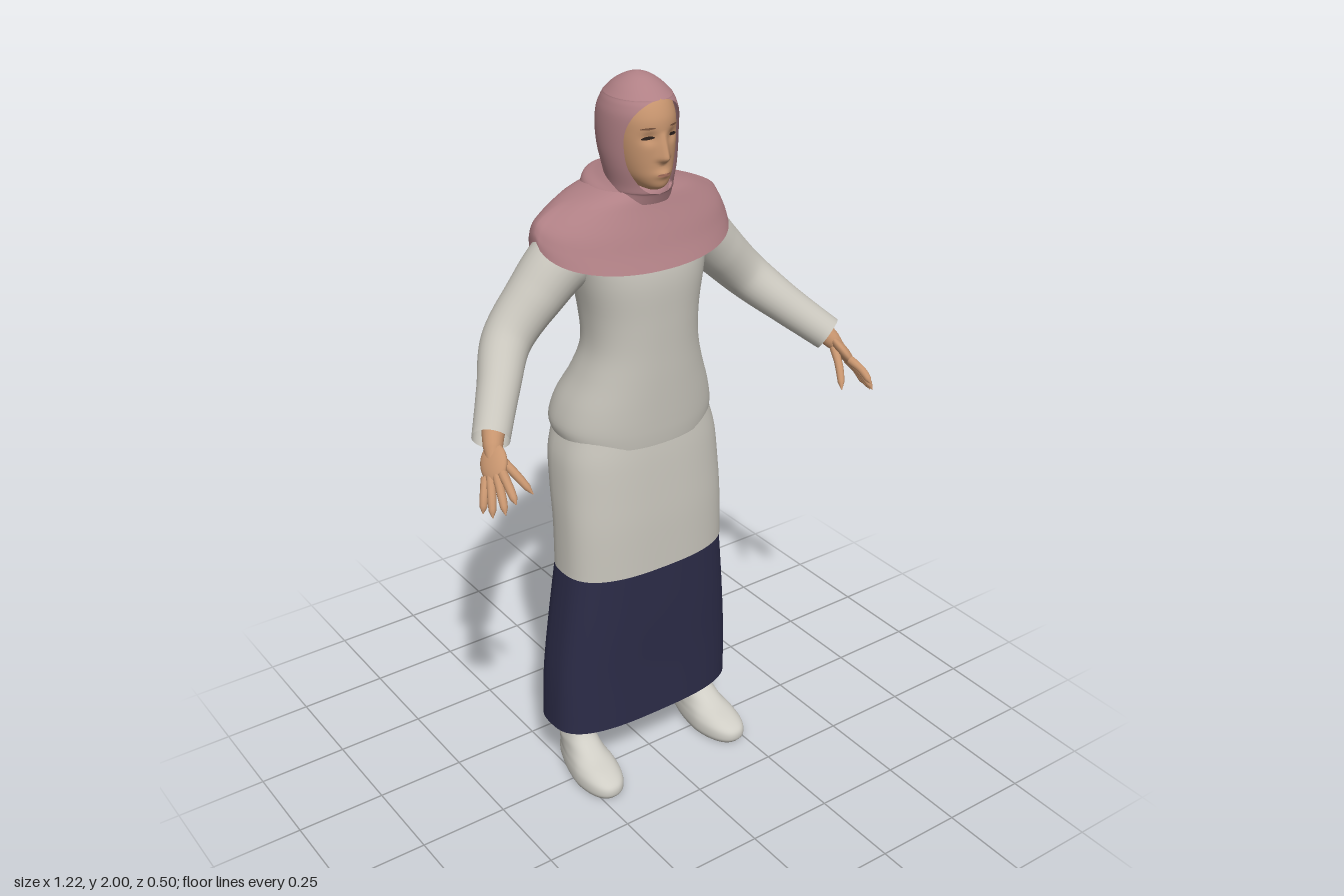
import * as THREE from 'three';
import { mergeVertices } from 'three/addons/utils/BufferGeometryUtils.js';

const V = (x, y, z) => new THREE.Vector3(x, y, z);
const clamp = THREE.MathUtils.clamp;
const bell = (d, s) => Math.exp(-((d / s) ** 2));

function material(name, color) {
  const m = new THREE.MeshStandardMaterial({ color, side: THREE.DoubleSide });
  m.name = name;
  return m;
}

function smooth(geo) {
  geo.deleteAttribute('uv');
  geo.deleteAttribute('normal');
  const g = mergeVertices(geo, 1e-5);
  g.computeVertexNormals();
  return g;
}

const spline = (a, b, c, d, t) =>
  0.5 * (2 * b + (c - a) * t + (2 * a - 5 * b + 4 * c - d) * t * t + (3 * b - a - 3 * c + d) * t ** 3);

// Surface through rounded cross-sections, bottom to top.
// Row: [y, halfWidth, frontZ, backZ, half angle left open at the front]
function loft(rows, { n = 2, seg = 56, steps = 5, cap = false, warp } = {}) {
  const rings = [];
  const last = rows.length - 1;
  for (let k = 0; k <= last * steps; k++) {
    const i = Math.min(Math.floor(k / steps), last - 1), t = k / steps - i;
    const r = [0, 1, 2, 3, 4].map((c) => {
      const q = (j) => rows[clamp(j, 0, last)][c] ?? 0;
      return spline(q(i - 1), q(i), q(i + 1), q(i + 2), t);
    });
    rings.push(r);
  }
  if (cap) rings.unshift([rings[0][0], 0, ...Array(2).fill((rings[0][2] + rings[0][3]) / 2), 0]);
  const pos = [], idx = [];
  const bend = (v) => Math.sign(v) * Math.abs(v) ** (2 / n);
  rings.forEach(([y, w, f, b, o], i) => {
    const open = Math.max(0, o);
    for (let j = 0; j <= seg; j++) {
      const a = open + (j / seg) * (Math.PI * 2 - 2 * open);
      const s = j === seg && !open ? 0 : Math.sin(a);
      const p = V(w * bend(s), y, (f + b) / 2 + ((f - b) / 2) * bend(Math.cos(a)));
      if (warp) warp(p, a);
      pos.push(p.x, p.y, p.z);
      if (i && j) {
        const d = i * (seg + 1) + j, c = d - 1, e = d - seg - 1, g = e - 1;
        idx.push(g, e, d, g, d, c);
      }
    }
  });
  const geo = new THREE.BufferGeometry();
  geo.setAttribute('position', new THREE.Float32BufferAttribute(pos, 3));
  geo.setIndex(idx);
  return smooth(geo);
}

// Tube whose radius follows a list of values along its length
function taper(points, radii, rings = 24, sides = 20) {
  const curve = new THREE.CatmullRomCurve3(points);
  const geo = new THREE.TubeGeometry(curve, rings, 1, sides, false);
  const p = geo.attributes.position, v = V(0, 0, 0);
  for (let i = 0; i < p.count; i++) {
    const t = Math.floor(i / (sides + 1)) / rings;
    const u = t * (radii.length - 1), k = Math.min(Math.floor(u), radii.length - 2);
    const r = THREE.MathUtils.lerp(radii[k], radii[k + 1], u - k);
    const c = curve.getPointAt(t);
    v.fromBufferAttribute(p, i).sub(c).multiplyScalar(r).add(c);
    p.setXYZ(i, v.x, v.y, v.z);
  }
  return smooth(geo);
}

export function createModel() {
  const model = new THREE.Group();
  const cloth = material('paleCloth', 0xc8c5bc);
  const shoeGrey = material('shoeGrey', 0xcfcdc5);
  const rose = material('roseCloth', 0xb08085);
  const navy = material('navyCloth', 0x2c2c48);
  const skin = material('skin', 0xc6946e);
  const dark = material('lashes', 0x2a1e1a);
  const brown = material('brows', 0x7d5740);
  const lip = material('lips', 0xab7460);
  const add = (name, geo, mat, parent = model) => {
    const m = new THREE.Mesh(geo, mat);
    m.name = name;
    parent.add(m);
    return m;
  };

  // Skirts
  add('underskirt', loft([
    [0.16, 0.29, 0.055, -0.2], [0.32, 0.285, 0.058, -0.197],
    [0.5, 0.267, 0.065, -0.188], [0.7, 0.243, 0.07, -0.175],
  ], { n: 2.9 }), navy);
  add('overskirt', loft([
    [0.665, 0.25, 0.082, -0.186], [0.8, 0.248, 0.08, -0.192], [0.9, 0.245, 0.075, -0.212],
    [1.0, 0.238, 0.068, -0.228], [1.07, 0.22, 0.06, -0.228],
  ], { n: 2.6 }), cloth);

  // Blouse, with a slight crease at the back of the hem
  add('blouse', loft([
    [1.055, 0.222, 0.068, -0.238], [1.09, 0.228, 0.072, -0.252], [1.15, 0.213, 0.075, -0.238],
    [1.23, 0.18, 0.078, -0.195], [1.31, 0.158, 0.08, -0.168], [1.4, 0.16, 0.083, -0.178],
    [1.5, 0.178, 0.085, -0.19], [1.57, 0.19, 0.072, -0.2], [1.64, 0.18, 0.035, -0.19], [1.69, 0.1, 0, -0.15],
  ], {
    n: 2.3, seg: 72,
    warp: (p, a) => {
      if (Math.cos(a) < 0) p.z += 0.016 * bell(p.x, 0.022) * clamp((1.17 - p.y) / 0.08, 0, 1);
      else p.y -= 0.015 * Math.cos(a) ** 2 * clamp((1.1 - p.y) / 0.04, 0, 1);
    },
  }), cloth);

  // Shoulder cape, its hem high at the arms and pointed at the back
  add('cape', loft([
    [1.6, 0.281, 0.088, -0.246], [1.625, 0.277, 0.07, -0.245], [1.655, 0.258, 0.052, -0.238],
    [1.69, 0.198, 0.03, -0.218], [1.72, 0.11, 0.015, -0.18],
  ], {
    n: 2.1, seg: 72,
    warp: (p, a) => {
      const c = Math.cos(a);
      const drop = c > 0 ? -0.08 * c ** 0.6 : -0.155 * (-c) ** 1.4;
      p.y += (0.015 + drop) * clamp((1.7 - p.y) / 0.1, 0, 1);
    },
  }), rose);
  add('collarFold', loft([
    [1.69, 0.118, 0.022, -0.216], [1.715, 0.11, 0.028, -0.208],
    [1.735, 0.09, 0.028, -0.17], [1.755, 0.074, 0.015, -0.13],
  ], { warp: (p) => { p.y -= 0.2 * (p.z + 0.09); } }), rose);

  // Hood with an oval face opening
  add('hood', loft([
    [1.69, 0.085, 0.035, -0.14, 0], [1.715, 0.08, 0.045, -0.135, 0], [1.722, 0.08, 0.05, -0.135, 0.35],
    [1.74, 0.082, 0.052, -0.137, 0.65], [1.78, 0.09, 0.058, -0.148, 0.92], [1.82, 0.095, 0.062, -0.162, 1],
    [1.87, 0.096, 0.066, -0.17, 1], [1.91, 0.093, 0.066, -0.165, 0.85], [1.935, 0.086, 0.058, -0.153, 0.6],
    [1.948, 0.08, 0.05, -0.145, 0.3], [1.953, 0.077, 0.046, -0.14, 0], [1.975, 0.056, 0.018, -0.115, 0],
    [1.993, 0.028, -0.015, -0.08, 0], [2.0, 0, -0.05, -0.05, 0],
  ]), rose);

  // Face with nose, lips and eye sockets raised or sunk by rule
  const face = add('face', loft([
    [1.725, 0.025, 0.035, -0.1], [1.737, 0.042, 0.055, -0.11], [1.76, 0.058, 0.061, -0.11],
    [1.79, 0.068, 0.061, -0.11], [1.83, 0.075, 0.061, -0.11], [1.87, 0.078, 0.06, -0.11],
    [1.91, 0.077, 0.055, -0.11], [1.95, 0.066, 0.033, -0.1], [1.97, 0.045, 0, -0.08],
  ], {
    seg: 96, steps: 8, cap: true,
    warp: (p, a) => {
      if (Math.cos(a) <= 0) return;
      const nose = clamp((1.875 - p.y) / 0.06, 0, 1) * clamp((p.y - 1.796) / 0.014, 0, 1);
      p.z += 0.021 * nose * bell(p.x, 0.008 + 0.006 * nose);
      p.z += 0.008 * bell(p.x, 0.02) * bell(p.y - 1.771, 0.01);
      p.z -= 0.009 * bell(Math.abs(p.x) - 0.033, 0.017) * bell(p.y - 1.862, 0.014);
    },
  }), skin);

  // Thin painted features laid on the face
  const ray = new THREE.Raycaster();
  model.updateMatrixWorld(true);
  const decal = (name, x, y, rx, ry, tilt, mat) => {
    const g = new THREE.CircleGeometry(1, 24).scale(rx, ry, 1).rotateZ(tilt).translate(x, y, 0);
    const p = g.attributes.position;
    for (let i = 0; i < p.count; i++) {
      ray.set(V(p.getX(i), p.getY(i), 1), V(0, 0, -1));
      const hit = ray.intersectObject(face)[0];
      p.setZ(i, (hit ? hit.point.z : 0.05) + 0.002);
    }
    g.computeVertexNormals();
    add(name, g, mat);
  };
  decal('lips', 0, 1.77, 0.019, 0.005, 0, lip);

  for (const s of [1, -1]) {
    const side = s > 0 ? 'left' : 'right';
    const P = (x, y, z) => V(s * x, y, z);
    decal(side + 'Eye', s * 0.036, 1.862, 0.015, 0.0042, -s * 0.12, dark);
    decal(side + 'Brow', s * 0.037, 1.886, 0.017, 0.0026, -s * 0.1, brown);

    // Sleeve
    add(side + 'Sleeve', taper(
      [P(0.13, 1.58, -0.085), P(0.2, 1.55, -0.09), P(0.28, 1.475, -0.092), P(0.375, 1.378, -0.08),
        P(0.45, 1.3, 0), P(0.53, 1.223, 0.093)],
      [0.07, 0.083, 0.077, 0.07, 0.065, 0.06, 0.054, 0.05, 0.047], 40, 28), cloth);

    // Hand: wrist, palm, fingers and thumb
    const hand = new THREE.Group();
    hand.name = side + 'Hand';
    model.add(hand);
    add('wrist', taper([P(0.5, 1.25, 0.06), P(0.525, 1.222, 0.095), P(0.548, 1.185, 0.13)],
      [0.028, 0.028, 0.024, 0.015]), skin, hand);
    const along = P(0.035, -0.075, 0.07).normalize();
    const across = P(0.05, -0.04, -0.07);
    across.addScaledVector(along, -across.dot(along)).normalize();
    const palm = new THREE.SphereGeometry(1, 24, 16).scale(0.038, 0.05, 0.016);
    palm.applyMatrix4(new THREE.Matrix4().makeBasis(across, along, across.clone().cross(along)));
    add('palm', palm.translate(s * 0.548, 1.183, 0.134), skin, hand);
    const fingers = {
      indexFinger: [[0.546, 1.17, 0.172], [0.557, 1.125, 0.248]],
      middleFinger: [[0.555, 1.163, 0.16], [0.578, 1.096, 0.233]],
      ringFinger: [[0.564, 1.156, 0.146], [0.597, 1.08, 0.204]],
      littleFinger: [[0.571, 1.15, 0.133], [0.605, 1.08, 0.172]],
      thumb: [[0.532, 1.195, 0.118], [0.487, 1.112, 0.21]],
    };
    for (const [name, [a, b]] of Object.entries(fingers)) {
      const from = P(...a), to = P(...b);
      const mid = from.clone().lerp(to, 0.5).add(P(0.002, 0.005, 0.003));
      add(name, taper([from, mid, to], [0.012, 0.012, 0.011, 0.011, 0.0105, 0.009, 0.001], 18, 12), skin, hand);
    }

    // Ankle shoe, narrower at the heel
    add(side + 'Shoe', loft([
      [0, 0.06, 0.135, -0.132], [0.015, 0.066, 0.145, -0.14], [0.04, 0.065, 0.14, -0.141],
      [0.06, 0.059, 0.105, -0.138], [0.08, 0.051, 0.05, -0.135], [0.11, 0.044, 0.002, -0.132], [0.14, 0.039, -0.02, -0.13],
    ], {
      n: 2.3, cap: true,
      warp: (p) => {
        p.x *= 1 - 0.25 * clamp((0.03 - p.z) / 0.12, 0, 1) * clamp((0.1 - p.y) / 0.05, 0, 1);
        p.y -= 0.015 * clamp((-0.03 - p.z) / 0.06, 0, 1) * clamp((p.y - 0.08) / 0.06, 0, 1);
        p.x += s * (0.21 + 0.05 * p.z);
      },
    }), shoeGrey);
  }
  return model;
}
